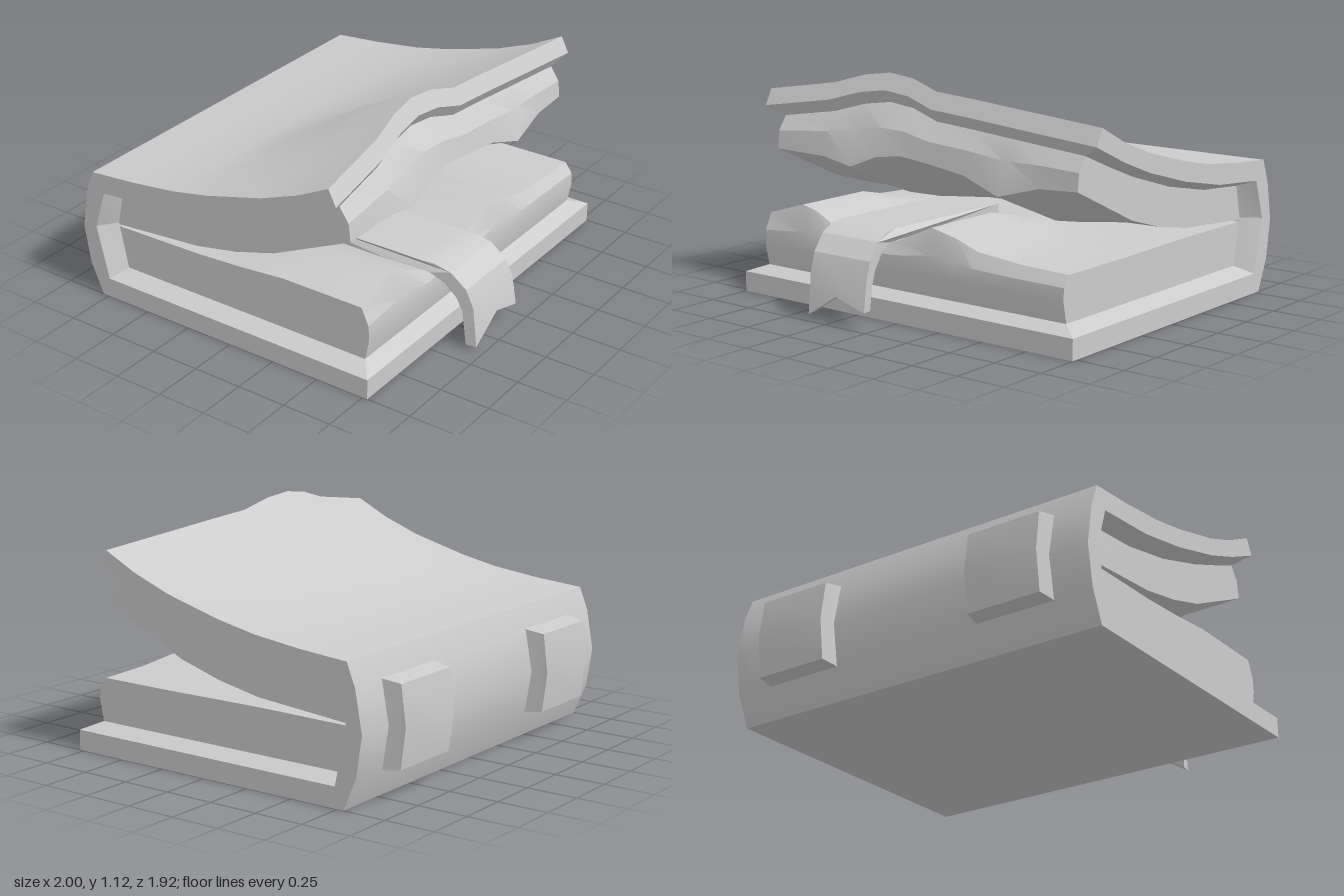
import * as THREE from 'three';
import { toCreasedNormals } from 'three/addons/utils/BufferGeometryUtils.js';

// Linear lookup in a table of [x, value] pairs
function lookup(table, x) {
  for (let i = 1; i < table.length; i++) {
    const [x0, v0] = table[i - 1], [x1, v1] = table[i];
    if (x <= x1) return v0 + (v1 - v0) * (x - x0) / (x1 - x0);
  }
  return table[table.length - 1][1];
}

// Joins closed cross-sections of [x, y, z] points, ordered along +x, and caps both ends
function loft(rings) {
  const flat = (ring) => ring.map(([, y, z]) => new THREE.Vector2(-z, y));
  if (THREE.ShapeUtils.isClockWise(flat(rings[0]))) rings = rings.map((r) => [...r].reverse());
  const pos = [];
  const tri = (a, b, c) => pos.push(...a, ...b, ...c);
  const n = rings[0].length;
  for (let i = 0; i < rings.length - 1; i++) {
    for (let j = 0; j < n; j++) {
      const k = (j + 1) % n;
      const a = rings[i][j], b = rings[i][k], c = rings[i + 1][k], d = rings[i + 1][j];
      tri(a, b, c);
      tri(a, c, d);
    }
  }
  const first = rings[0], last = rings[rings.length - 1];
  for (const [a, b, c] of THREE.ShapeUtils.triangulateShape(flat(first), [])) tri(first[c], first[b], first[a]);
  for (const [a, b, c] of THREE.ShapeUtils.triangulateShape(flat(last), [])) tri(last[a], last[b], last[c]);
  const geo = new THREE.BufferGeometry();
  geo.setAttribute('position', new THREE.Float32BufferAttribute(pos, 3));
  return toCreasedNormals(geo, 0.35);
}

// Warp of the lifted cover, and the wavy page edges, across the width
const coverLift = [[-1, 0], [-0.6, 0.06], [-0.42, 0.11], [-0.27, 0.13], [-0.12, 0.115],
  [0.04, 0.07], [0.27, 0.055], [0.53, 0.035], [1, 0]];
const upperEdge = [[-0.91, 0.705], [-0.6, 0.7], [-0.42, 0.67], [-0.27, 0.73], [-0.12, 0.75],
  [0.04, 0.735], [0.27, 0.705], [0.48, 0.635], [0.7, 0.695], [0.91, 0.705]];
const lowerEdge = [[-0.91, 0.395], [-0.69, 0.46], [-0.6, 0.44], [-0.45, 0.365], [-0.08, 0.365],
  [0.13, 0.455], [0.27, 0.425], [0.4, 0.38], [0.65, 0.357], [0.91, 0.35]];

// Raises a cover point by the warp, fading toward the spine
function lift(x, [z, y]) {
  const d = y > 0.5 ? lookup(coverLift, x) * THREE.MathUtils.smoothstep(z, -0.25, 0.35) : 0;
  return [x, y + d, z - 0.5 * d];
}

// Cover profiles as [z, y]
const outerSide = [[0.775, 0], [-0.783, 0], [-0.85, 0.155], [-0.88, 0.35], [-0.845, 0.545], [-0.8, 0.66],
  [-0.55, 0.68], [-0.3, 0.71], [-0.1, 0.75], [0.2, 0.83], [0.4, 0.905], [0.57, 0.99]];
const rim = [[0.61, 0.91], [0.4, 0.815], [0.2, 0.74], [-0.1, 0.655], [-0.4, 0.595],
  [-0.737, 0.565], [-0.8, 0.37], [-0.737, 0.1], [0.775, 0.1]];
const lining = [[0.57, 0.85], [0.4, 0.78], [0.2, 0.705], [-0.1, 0.62], [-0.4, 0.56],
  [-0.7, 0.535], [-0.737, 0.37], [-0.69, 0.135], [0.7, 0.135]];

function coverGeometry() {
  const xs = [-1, -0.91, -0.6, -0.42, -0.27, -0.12, 0.04, 0.27, 0.53, 0.91, 1];
  return loft(xs.map((x) => {
    const inner = Math.abs(x) === 1 ? rim : lining;
    return [...outerSide, rim[0], ...inner, rim[rim.length - 1]].map((p) => lift(x, p));
  }));
}

function upperPagesGeometry() {
  const xs = [...new Set([...upperEdge.map((p) => p[0]), 0.53])].sort((a, b) => a - b);
  return loft(xs.map((x) => {
    const e = lookup(upperEdge, x) - 0.705;
    const top = [[-0.735, 0.36], ...lining.slice(0, 7).reverse()].map((p) => lift(x, p));
    const d = lookup(coverLift, x);
    return [...top,
      [x, 0.785 + 0.6 * d + 0.2 * e, 0.615 - 0.25 * d],
      [x, 0.705 + e, 0.622 - 0.25 * e],
      [x, 0.51 + 0.8 * e, 0.2],
      [x, 0.445 + 0.5 * e, -0.02],
      [x, 0.4 + 0.1 * e, -0.25]];
  }));
}

function lowerPagesGeometry() {
  return loft(lowerEdge.map(([x, h]) => {
    const d = h - 0.355;
    return [[0.7, 0.135], [-0.69, 0.135], [-0.735, 0.35], [-0.25, 0.355 + 0.1 * d], [0, 0.355 + 0.45 * d],
      [0.25, h], [0.68, h], [0.718, 0.3 + 0.3 * d], [0.722, 0.24]].map(([z, y]) => [x, y, z]);
  }));
}

// Ribbon curling over the front, with a notched end
function ribbonGeometry() {
  const stations = [[-0.45, 0.02], [-0.275, 0.13], [-0.1, 0.08]];
  return loft(stations.map(([x, tip]) => {
    const path = [[-0.1, 0.415], [0.5, 0.42], [0.68, 0.42], [0.75, 0.415], [0.83, 0.385], [0.905, 0.31],
      [0.94, 0.22], [0.962, tip], [0.91, tip], [0.89, 0.19], [0.86, 0.26], [0.8, 0.325], [0.73, 0.365],
      [0.5, 0.365], [-0.1, 0.365]];
    return path.map(([z, y]) => [x + 0.06 * THREE.MathUtils.clamp((z - 0.68) / 0.27, 0, 1), y, z]);
  }));
}

// Raised band on the spine, narrowing outward
function bandGeometry() {
  const profile = [[-0.84, 0.555], [-0.935, 0.54], [-0.96, 0.35], [-0.935, 0.155], [-0.845, 0.145], [-0.865, 0.35]];
  return loft([-1, 1].map((s) => profile.map(([z, y]) => [s * (z < -0.9 ? 0.19 : 0.205), y, z])));
}

export function createModel() {
  const group = new THREE.Group();
  group.name = 'book';
  const grey = new THREE.MeshStandardMaterial({ name: 'light grey', color: 0xcccccc });
  const add = (name, geometry, x = 0) => {
    const mesh = new THREE.Mesh(geometry, grey);
    mesh.name = name;
    mesh.position.x = x;
    group.add(mesh);
  };
  add('cover', coverGeometry());
  add('upperPages', upperPagesGeometry());
  add('lowerPages', lowerPagesGeometry());
  add('ribbonBookmark', ribbonGeometry());
  add('leftSpineBand', bandGeometry(), 0.6);
  add('rightSpineBand', bandGeometry(), -0.6);
  return group;
}
